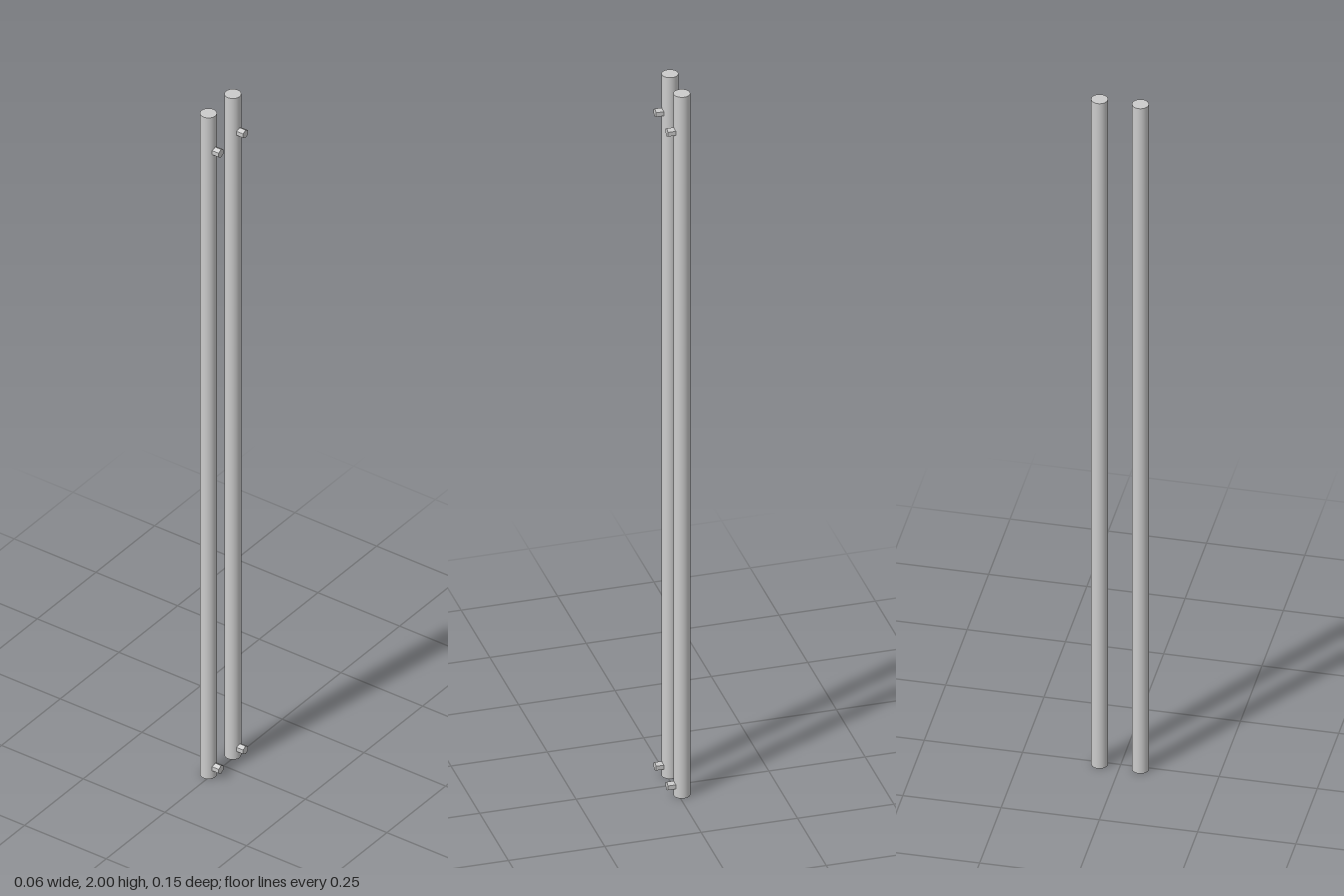
import * as THREE from 'three';

export function createModel() {
  const group = new THREE.Group();
  const smooth = new THREE.MeshStandardMaterial({ color: 0xcccccc });
  const faceted = new THREE.MeshStandardMaterial({ color: 0xcccccc, flatShading: true });

  const barX = -0.009, barRadius = 0.021, pegEnd = 0.03;
  const pegLength = pegEnd - barX - 0.01;

  const barGeo = new THREE.CylinderGeometry(barRadius, barRadius, 2, 40);
  // hexagonal peg lying along x, with a corner pointing up
  const pegGeo = new THREE.CylinderGeometry(0.012, 0.012, pegLength, 6, 1, false, Math.PI / 2);
  pegGeo.rotateZ(-Math.PI / 2);

  for (const [side, z] of [['front', 0.052], ['back', -0.052]]) {
    // upright bar
    const bar = new THREE.Mesh(barGeo, smooth);
    bar.name = side + 'Bar';
    bar.position.set(barX, 1, z);
    group.add(bar);

    // mounting pegs near each end
    for (const [level, y] of [['Lower', 0.03], ['Upper', 1.894]]) {
      const peg = new THREE.Mesh(pegGeo, faceted);
      peg.name = side + level + 'Peg';
      peg.position.set(pegEnd - pegLength / 2, y, z);
      group.add(peg);
    }
  }
  return group;
}
